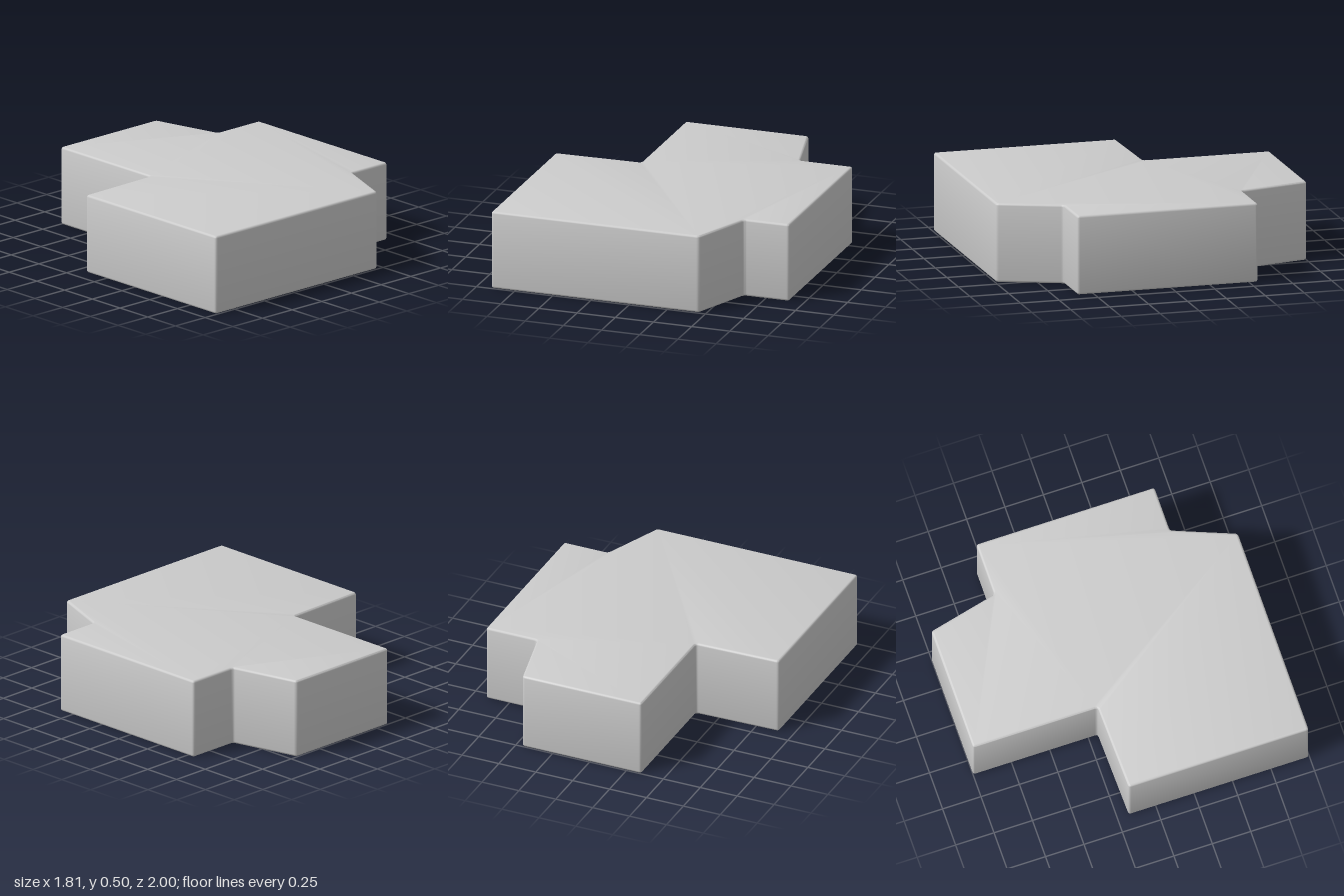
import * as THREE from 'three';
import { toCreasedNormals } from 'three/addons/utils/BufferGeometryUtils.js';

const HEIGHT = 0.5;
const BEVEL = 0.014;
const CORNER = 0.018;

// Plan outline as [x, z], counter-clockwise when seen from above
const OUTLINE = [
  [-0.905, 0.995], [0.455, 0.995], [0.61, 0.605], [0.905, 0.605],
  [0.905, -0.555], [0.56, -0.555], [0.455, -1], [-0.35, -1],
  [-0.35, -0.19], [-0.905, -0.177],
];

// Closed shape whose corners are eased by a small radius
function roundedShape(points, radius) {
  const pts = points.map(([x, z]) => new THREE.Vector2(x, -z));
  const toward = (a, b) => a.clone().add(b.clone().sub(a).setLength(radius));
  const shape = new THREE.Shape();
  pts.forEach((p, i) => {
    const start = toward(p, pts[(i + pts.length - 1) % pts.length]);
    const end = toward(p, pts[(i + 1) % pts.length]);
    if (i === 0) shape.moveTo(start.x, start.y);
    else shape.lineTo(start.x, start.y);
    shape.quadraticCurveTo(p.x, p.y, end.x, end.y);
  });
  shape.closePath();
  return shape;
}

export function createModel() {
  const group = new THREE.Group();
  group.name = 'steppedBlock';

  // Solid slab with softened edges, laid flat on the ground
  const extruded = new THREE.ExtrudeGeometry(roundedShape(OUTLINE, CORNER), {
    depth: HEIGHT - 2 * BEVEL,
    curveSegments: 4,
    bevelEnabled: true,
    bevelThickness: BEVEL,
    bevelSize: BEVEL,
    bevelOffset: -BEVEL,
    bevelSegments: 3,
  });
  extruded.rotateX(-Math.PI / 2);
  extruded.translate(0, BEVEL, 0);

  const slab = new THREE.Mesh(
    toCreasedNormals(extruded, 0.7),
    new THREE.MeshStandardMaterial({ color: 0xcccccc }),
  );
  slab.name = 'slab';
  group.add(slab);
  return group;
}
